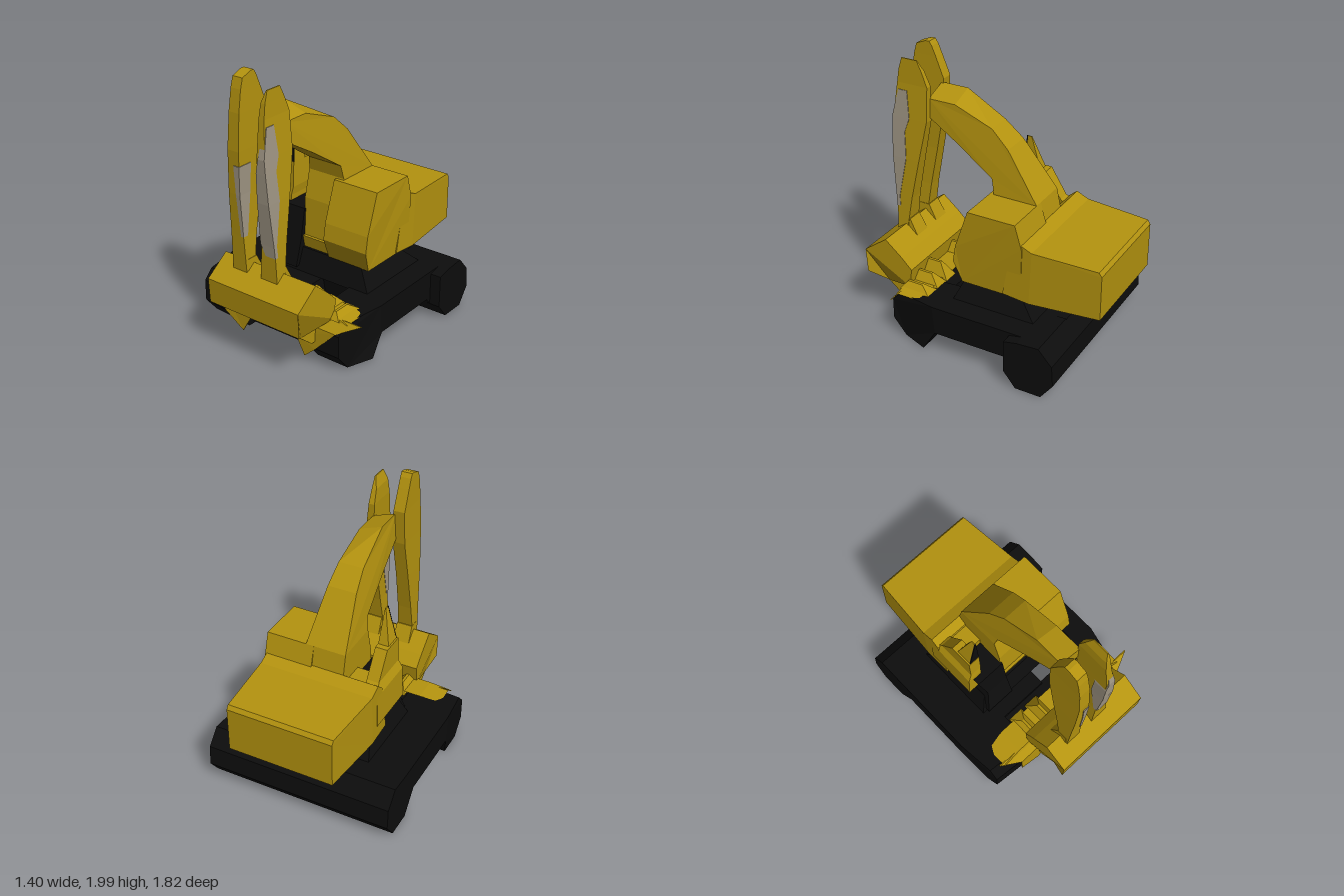
import * as THREE from 'three';

const mat = (name, color) => {
  const m = new THREE.MeshStandardMaterial({ color, flatShading: true });
  m.name = name;
  return m;
};

export function createModel() {
  const model = new THREE.Group();
  model.name = 'excavator';
  const yellow = mat('yellow paint', 0xb4930f);
  const black = mat('black rubber', 0x0d0d0d);
  const grey = mat('worn grey', 0xa09684);

  const add = (name, geo, material) => {
    const mesh = new THREE.Mesh(geo, material);
    mesh.name = name;
    model.add(mesh);
  };

  // Side profile of [z, y] points, extruded from x0 to x1, optionally reshaped by a rule
  const profile = (name, pts, x0, x1, material, rule) => {
    const shape = new THREE.Shape(pts.map(p => new THREE.Vector2(p[0], p[1])));
    const geo = new THREE.ExtrudeGeometry(shape, { depth: x1 - x0, bevelEnabled: false });
    geo.rotateY(-Math.PI / 2).translate(x1, 0, 0);
    if (rule) {
      const pos = geo.attributes.position;
      const v = new THREE.Vector3();
      for (let i = 0; i < pos.count; i++) {
        rule(v.fromBufferAttribute(pos, i));
        pos.setXYZ(i, v.x, v.y, v.z);
      }
    }
    geo.computeVertexNormals();
    add(name, geo, material);
  };

  // Stacked rectangles [y, x0, x1, z0, z1] joined into one solid
  const loft = (name, sections, material) => {
    const verts = [], idx = [], n = sections.length;
    for (const [y, x0, x1, z0, z1] of sections)
      verts.push(x0, y, z1, x1, y, z1, x1, y, z0, x0, y, z0);
    for (let s = 0; s < n - 1; s++)
      for (let i = 0; i < 4; i++) {
        const a = s * 4 + i, b = s * 4 + (i + 1) % 4;
        idx.push(a, b, b + 4, a, b + 4, a + 4);
      }
    const t = (n - 1) * 4;
    idx.push(0, 2, 1, 0, 3, 2, t, t + 1, t + 2, t, t + 2, t + 3);
    let geo = new THREE.BufferGeometry();
    geo.setAttribute('position', new THREE.Float32BufferAttribute(verts, 3));
    geo.setIndex(idx);
    geo = geo.toNonIndexed();
    geo.computeVertexNormals();
    add(name, geo, material);
  };

  // Tracks: faceted ends, raised belly in the middle
  const track = [[0.62, 0.13], [0.52, 0.01], [0.33, 0.01], [0.23, 0.17], [-0.32, 0.17], [-0.45, 0.01],
    [-0.64, 0.01], [-0.73, 0.13], [-0.72, 0.28], [-0.62, 0.39], [-0.46, 0.38], [0.25, 0.38], [0.55, 0.36], [0.62, 0.29]];
  profile('rightTrack', track, -0.7, -0.32, black, v => { if (v.x < -0.6 && v.z > 0.3) { v.x += 0.03; v.z -= 0.03; } });
  profile('leftTrack', track, 0.3, 0.62, black, v => { if (v.x > 0.5 && v.z > 0.4) v.x = 0.55; });
  profile('leftTrackRear', [[-0.36, 0.12], [-0.45, 0.01], [-0.64, 0.01], [-0.73, 0.13], [-0.72, 0.28],
    [-0.62, 0.39], [-0.46, 0.38], [-0.36, 0.36]], 0.6, 0.7, black);

  // Chassis between the tracks, leaving an opening near the front
  profile('rearChassis', [[-0.3, 0.17], [-0.45, 0.01], [-0.64, 0.01], [-0.73, 0.13], [-0.72, 0.28], [-0.62, 0.38], [-0.3, 0.38]], -0.34, 0.32, black);
  loft('centreChassis', [[0.17, -0.34, 0.32, -0.35, 0.12], [0.38, -0.34, 0.32, -0.42, 0.16]], black);
  loft('frontCrossbar', [[0.03, -0.34, 0.32, 0.33, 0.48], [0.2, -0.34, 0.32, 0.28, 0.48], [0.34, -0.34, 0.32, 0.28, 0.42]], black);
  loft('chassisInfill', [[0.17, -0.34, 0.06, 0.1, 0.3], [0.37, -0.34, 0.06, 0.1, 0.3]], black);
  loft('turntable', [[0.37, -0.42, 0.46, -0.46, 0.18], [0.53, -0.35, 0.36, -0.29, 0.12]], black);

  // Counterweight housing, slightly narrower toward the back
  profile('rearBody', [[-0.2, 0.53], [-0.4, 0.51], [-0.91, 0.53], [-0.91, 0.86], [-0.89, 0.89],
    [-0.42, 0.91], [-0.33, 0.95], [-0.27, 0.9]], -0.42, 0.43, yellow, v => { if (v.z < -0.8) v.x *= 0.92; });
  loft('bodyFloor', [[0.52, -0.3, 0.4, -0.3, 0.1], [0.62, -0.17, 0.4, -0.3, 0.12]], yellow);
  profile('sideHousing', [[0.12, 0.52], [0.18, 0.68], [0.16, 0.8], [0.06, 1.09], [-0.3, 1.09], [-0.35, 0.92], [-0.34, 0.52]],
    0.08, 0.44, yellow, v => { if (v.y < 0.6 && v.x > 0.3) v.x -= 0.02; });

  // Operator's side: floor, seat base and pillar
  loft('seatBase', [[0.4, -0.38, -0.15, -0.12, 0.2], [0.6, -0.33, -0.15, -0.12, 0.14], [0.82, -0.38, -0.15, -0.12, 0.1]], black);
  loft('seatBack', [[0.55, -0.3, -0.14, -0.3, -0.11], [0.88, -0.3, -0.14, -0.3, -0.12]], yellow);
  loft('sidePillar', [[0.54, -0.38, -0.32, -0.32, -0.02], [0.62, -0.425, -0.32, -0.34, 0.05], [0.86, -0.42, -0.31, -0.34, 0.05],
    [0.92, -0.39, -0.3, -0.26, 0.04], [1.11, -0.39, -0.3, -0.14, 0.03]], yellow);
  loft('pillarTip', [[1.1, -0.38, -0.3, -0.1, 0.02], [1.35, -0.315, -0.308, -0.02, 0.01]], yellow);
  loft('pillarTipFront', [[1.1, -0.38, -0.3, 0.02, 0.028], [1.35, -0.316, -0.307, 0.01, 0.018]], black);

  // Boom: wide at the base, narrow at the elbow
  profile('boom', [[0.1, 0.6], [0.08, 0.9], [0.03, 1.1], [0.05, 1.2], [0.32, 1.38], [0.57, 1.53], [0.57, 1.72], [0.36, 1.72],
    [0.07, 1.55], [-0.06, 1.43], [-0.3, 1.09], [-0.34, 0.9], [-0.3, 0.6]], -0.16, 0.14, yellow,
  v => {
    v.x *= 1 - 0.42 * THREE.MathUtils.clamp((v.y - 1.1) / 0.5, 0, 1);
    if (v.x > 0 && v.y > 1.6) v.y -= 0.06;
  });

  // Pair of dipper arms
  loft('rightArm', [[0.64, -0.19, -0.07, 0.72, 0.8], [0.9, -0.185, -0.08, 0.68, 0.81], [1.2, -0.18, -0.085, 0.62, 0.825],
    [1.5, -0.172, -0.08, 0.56, 0.83], [1.75, -0.168, -0.083, 0.55, 0.81], [1.9, -0.167, -0.085, 0.61, 0.785],
    [1.97, -0.166, -0.085, 0.64, 0.765], [2, -0.165, -0.085, 0.66, 0.69]], yellow);
  loft('leftArm', [[0.64, 0.05, 0.19, 0.72, 0.8], [0.9, 0.065, 0.175, 0.68, 0.8], [1.2, 0.07, 0.158, 0.62, 0.825],
    [1.5, 0.07, 0.135, 0.56, 0.83], [1.75, 0.068, 0.113, 0.56, 0.8], [1.85, 0.075, 0.11, 0.6, 0.785],
    [1.93, 0.1, 0.108, 0.64, 0.76]], yellow);

  // Worn grey panels on the front of the arms
  loft('leftArmPanel', [[0.82, 0.1, 0.182, 0.775, 0.803], [0.9, 0.063, 0.178, 0.78, 0.808], [1.2, 0.067, 0.162, 0.725, 0.833],
    [1.4, 0.067, 0.147, 0.735, 0.838], [1.5, 0.085, 0.139, 0.7, 0.838], [1.7, 0.1, 0.122, 0.72, 0.79]], grey);
  loft('rightArmPanel', [[0.9, -0.1, -0.077, 0.77, 0.812], [1.2, -0.115, -0.081, 0.73, 0.83], [1.4, -0.125, -0.077, 0.72, 0.834]], grey);

  // Bucket shell, narrower along its lower edge
  profile('bucket', [[0.73, 0.69], [0.91, 0.56], [0.9, 0.38], [0.78, 0.29], [0.66, 0.19], [0.6, 0.2], [0.62, 0.29],
    [0.54, 0.36], [0.52, 0.5], [0.6, 0.58]], -0.32, 0.45, yellow, v => { if (v.y < 0.35) v.x = THREE.MathUtils.clamp(v.x, -0.28, 0.36); });
  for (const x of [-0.13, 0.12])
    loft('bucketBracket', [[0.5, x - 0.07, x + 0.07, 0.58, 0.8], [0.73, x - 0.06, x + 0.06, 0.7, 0.78]], yellow);

  // Flared lip in front of the tracks, with a sloped fold over them
  const lip = new THREE.Shape([[-0.6, 0.38], [-0.45, 0.3], [-0.45, 0.15], [-0.28, 0.04], [-0.21, 0.16], [0, 0.21],
    [0.19, 0.2], [0.27, 0.05], [0.36, 0.13], [0.52, 0.3], [0.68, 0.38]].map(p => new THREE.Vector2(...p)));
  const lipGeo = new THREE.ExtrudeGeometry(lip, { depth: 0.008, bevelEnabled: false });
  const lipPos = lipGeo.attributes.position;
  for (let i = 0; i < lipPos.count; i++)
    lipPos.setZ(i, lipPos.getZ(i) + 0.622 - Math.max(0, lipPos.getY(i) - 0.29) * 0.9);
  lipGeo.computeVertexNormals();
  add('bucketLip', lipGeo, yellow);
  loft('lipFold', [[0.365, -0.57, 0.58, 0.4, 0.57], [0.385, -0.42, 0.5, 0.37, 0.56]], yellow);

  // Teeth along the back rim
  for (const [x, h] of [[-0.25, 0.42], [-0.1, 0.46], [0.22, 0.48], [0.34, 0.45], [0.46, 0.42]])
    loft('bucketTooth', [[0.37, x - 0.06, x + 0.06, 0.34, 0.58], [h, x - 0.01, x + 0.01, 0.42, 0.54]], yellow);

  return model;
}
